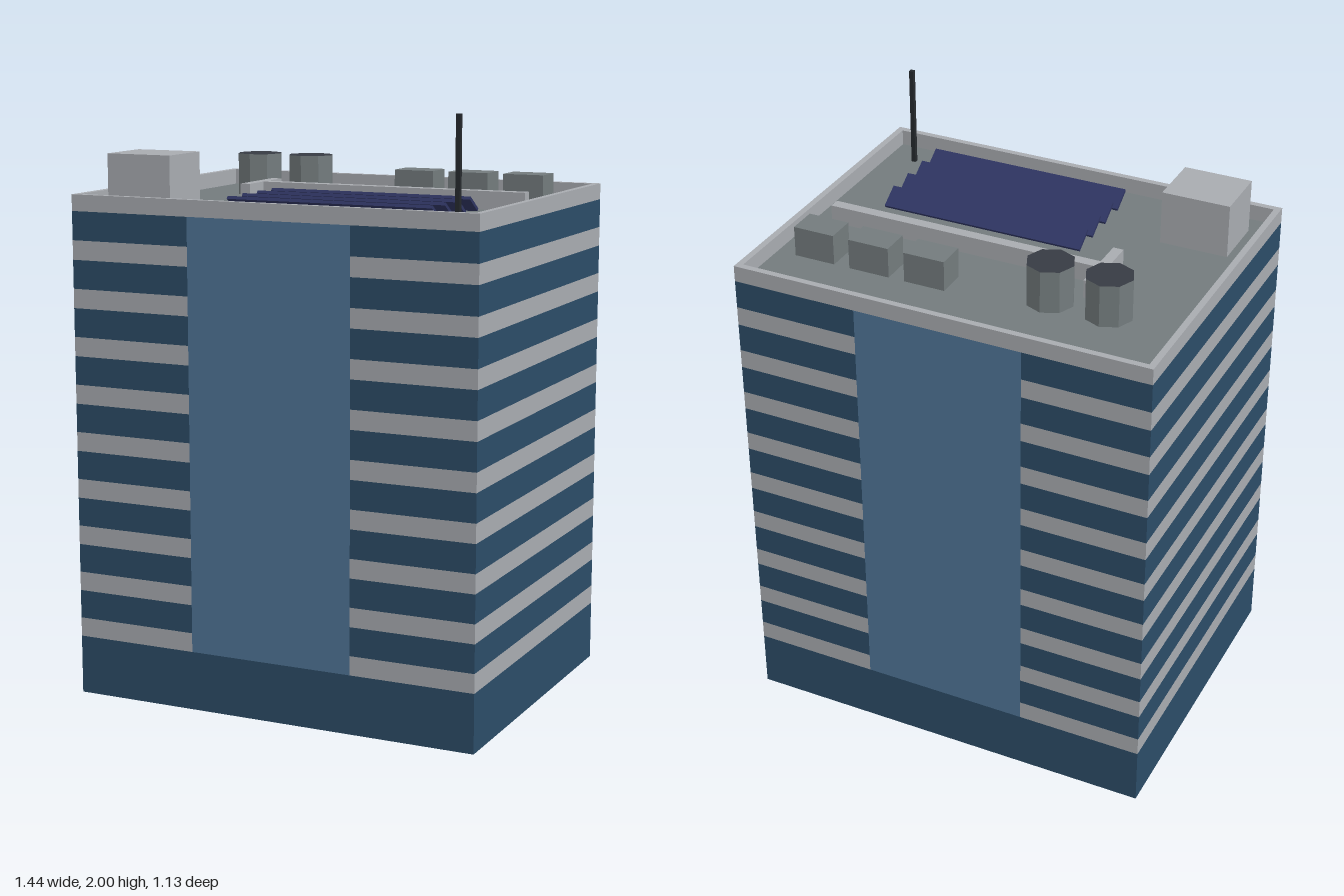
import * as THREE from 'three';

const W = 1.444, D = 1.126;          // footprint
const BASE = 0.2, ROOF = 1.655, TOP = 1.71;
const FLOORS = 9, SPANDREL = 0.065;  // storeys and solid band height
const CORE = 0.29;                   // half width of the central glass panel

export function createModel() {
  const model = new THREE.Group();
  model.name = 'officeBlock';

  const material = (name, color, side = THREE.FrontSide) => {
    const m = new THREE.MeshStandardMaterial({ color, side });
    m.name = name;
    return m;
  };
  const glass = material('darkGlass', 0x2c4c67, THREE.DoubleSide);
  const panel = material('lightGlass', 0x507597, THREE.DoubleSide);
  const concrete = material('concrete', 0xa8abb0, THREE.DoubleSide);
  const roofing = material('roofGrey', 0x737b7d, THREE.DoubleSide);
  const lid = material('tankLid', 0x373b43);
  const solar = material('solarBlue', 0x2f3562);
  const steel = material('darkSteel', 0x25292d);

  const add = (name, geometry, mat, parent = model) => {
    const mesh = new THREE.Mesh(geometry, mat);
    mesh.name = name;
    parent.add(mesh);
    return mesh;
  };
  // Box given by its x, y and z limits
  const box = (name, mat, x0, x1, y0, y1, z0, z1) => {
    const mesh = add(name, new THREE.BoxGeometry(x1 - x0, y1 - y0, z1 - z0), mat);
    mesh.position.set((x0 + x1) / 2, (y0 + y1) / 2, (z0 + z1) / 2);
    return mesh;
  };

  // Facades: thin open walls made of stacked strips
  const strip = (wall, name, mat, x0, x1, y0, y1) =>
    add(name, new THREE.PlaneGeometry(x1 - x0, y1 - y0), mat, wall)
      .position.set((x0 + x1) / 2, (y0 + y1) / 2, 0);

  const storey = (ROOF - BASE) / FLOORS;
  const facades = ['frontWall', 'leftWall', 'backWall', 'rightWall'];
  facades.forEach((name, i) => {
    const wide = i % 2 === 0;
    const h = (wide ? W : D) / 2;
    const wall = new THREE.Group();
    wall.name = name;
    wall.rotation.y = i * Math.PI / 2;
    const out = (wide ? D : W) / 2;
    wall.position.set(Math.sin(wall.rotation.y) * out, 0, Math.cos(wall.rotation.y) * out);
    model.add(wall);

    strip(wall, 'groundFloorGlass', glass, -h, h, 0, BASE);
    if (wide) strip(wall, 'centralGlass', panel, -CORE, CORE, BASE, ROOF);
    const spans = wide ? [[-h, -CORE], [CORE, h]] : [[-h, h]];
    for (const [x0, x1] of spans) {
      for (let f = 0; f < FLOORS; f++) {
        const y = BASE + f * storey;
        strip(wall, 'spandrel', concrete, x0, x1, y, y + SPANDREL);
        strip(wall, 'windowBand', glass, x0, x1, y + SPANDREL, y + storey);
      }
    }
  });

  // Roof deck and parapet ring
  const deck = add('roofDeck', new THREE.PlaneGeometry(W - 0.03, D - 0.03), roofing);
  deck.rotation.x = -Math.PI / 2;
  deck.position.y = ROOF + 0.001;

  const rect = (Type, w, d) => {
    const s = new Type();
    s.moveTo(-w, -d);
    s.lineTo(w, -d);
    s.lineTo(w, d);
    s.lineTo(-w, d);
    s.closePath();
    return s;
  };
  const ring = rect(THREE.Shape, W / 2, D / 2);
  ring.holes.push(rect(THREE.Path, W / 2 - 0.022, D / 2 - 0.022));
  const parapet = add('parapet',
    new THREE.ExtrudeGeometry(ring, { depth: TOP - ROOF, bevelEnabled: false }), concrete);
  parapet.rotation.x = -Math.PI / 2;
  parapet.position.y = ROOF;

  // Stair house and ducts
  box('stairHouse', concrete, -0.643, -0.408, ROOF, 1.84, 0.26, 0.462);
  box('mainDuct', concrete, -0.326, 0.638, ROOF, 1.718, -0.082, -0.044);
  box('crossDuct', concrete, -0.362, -0.326, ROOF, 1.718, -0.18, 0.057);

  // Air conditioning units
  for (const x of [0.16, 0.36, 0.56])
    box('airUnit', roofing, x - 0.072, x + 0.072, ROOF, 1.76, -0.333, -0.231);

  // Eight-sided water tanks with dark lids
  for (const x of [-0.443, -0.242]) {
    const height = 1.8 - ROOF;
    const geometry = new THREE.CylinderGeometry(0.08, 0.08, height, 8).toNonIndexed();
    geometry.computeVertexNormals();
    add('waterTank', geometry, [roofing, lid, roofing])
      .position.set(x, ROOF + height / 2, -0.245);
  }

  // Solar panels tilted toward the back
  for (let i = 0; i < 4; i++) {
    const row = add('solarPanel', new THREE.BoxGeometry(0.72, 0.011, 0.08), solar);
    row.rotation.x = -0.58;
    row.position.set(0.16, 1.69, 0.107 + i * 0.1045);
  }

  // Antenna mast
  box('antenna', steel, 0.594, 0.609, ROOF, 2, 0.434, 0.449);

  return model;
}
